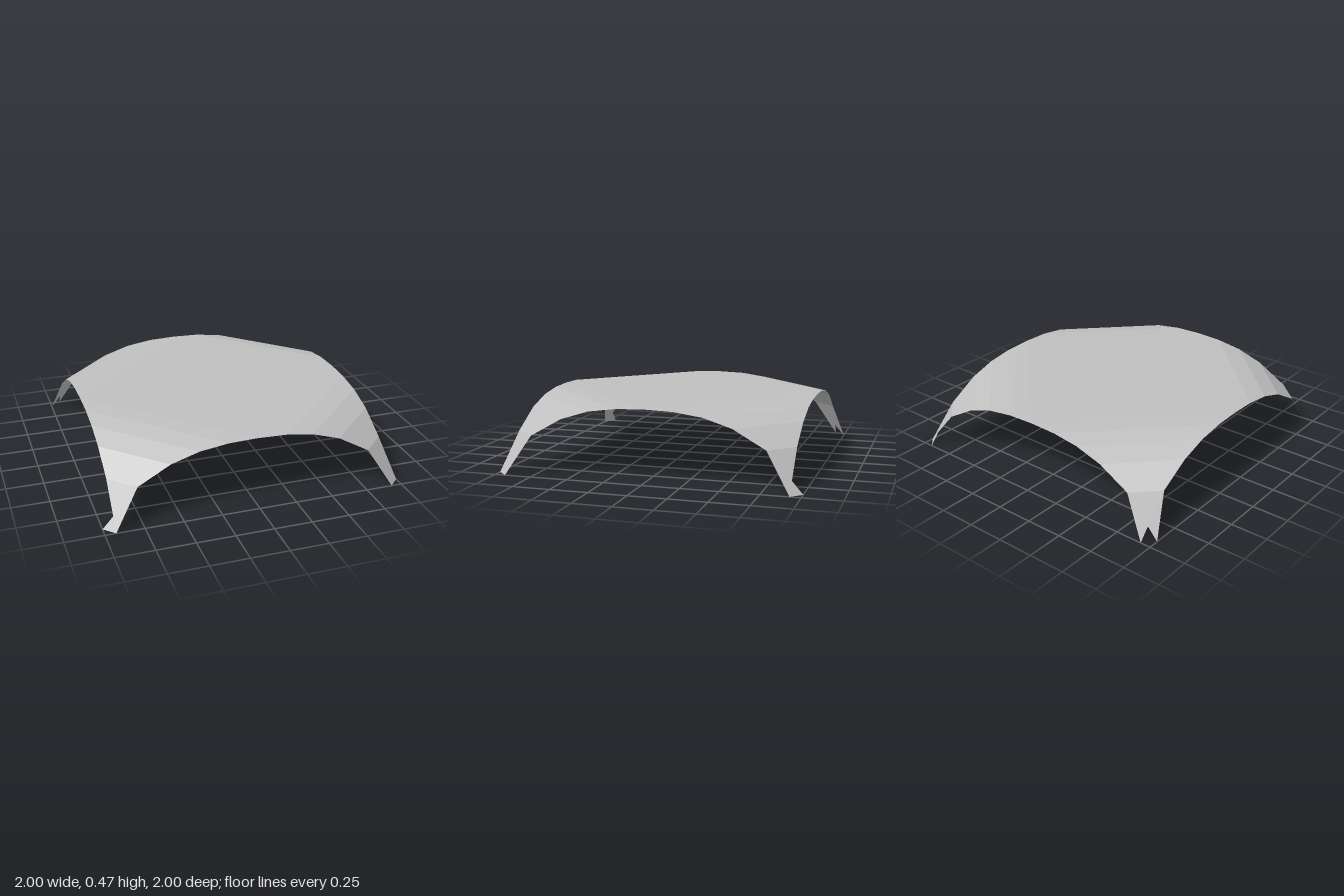
import * as THREE from 'three';

const HALF = 0.93;
// Bend profile: distance along the edge from its middle, and height there
const PROFILE = [[0, 0.465], [0.19, 0.459], [0.375, 0.433], [0.56, 0.375], [0.772, 0.255], [HALF, 0.08]];

const gray = new THREE.MeshStandardMaterial({ color: 0xc0c0c0, side: THREE.DoubleSide });
gray.name = 'light gray';

// Flat-faceted mesh from convex polygons, mirrored into the quadrant (sx, sz)
function facets(name, polygons, sx = 1, sz = 1) {
  const positions = [];
  const put = ([x, y, z]) => positions.push(x * sx, y, z * sz);
  for (const polygon of polygons) {
    const ring = sx * sz < 0 ? [...polygon].reverse() : polygon;
    for (let i = 1; i < ring.length - 1; i++) [ring[0], ring[i], ring[i + 1]].forEach(put);
  }
  const geometry = new THREE.BufferGeometry();
  geometry.setAttribute('position', new THREE.Float32BufferAttribute(positions, 3));
  geometry.computeVertexNormals();
  const mesh = new THREE.Mesh(geometry, gray);
  mesh.name = name;
  return mesh;
}

export function createModel() {
  const model = new THREE.Group();
  model.name = 'archedCanopy';

  // Points of one corner on the front edge and on the side edge
  const onFront = PROFILE.map(([t, y]) => [t, y, HALF]);
  const onSide = PROFILE.map(([t, y]) => [HALF, y, t]);

  // Flat diamond in the middle of the sheet
  const top = PROFILE[0][1];
  model.add(facets('canopyTop', [[[0, top, HALF], [HALF, top, 0], [0, top, -HALF], [-HALF, top, 0]]]));

  // Bands bending down towards a corner; the last one is the corner triangle
  const bands = [];
  for (let i = 0; i < PROFILE.length - 1; i++) {
    const band = [onFront[i], onFront[i + 1], onSide[i + 1], onSide[i]];
    if (i === PROFILE.length - 2) band.splice(2, 1);
    bands.push(band);
  }

  // Foot pieces around the corner tip
  const tip = onFront[5];
  const toeFront = [HALF, 0, 1];
  const toeSide = [1, 0, HALF];
  const frontFin = [onFront[4], toeFront, tip];
  const toe = [tip, toeFront, toeSide];
  const sideFin = [tip, toeSide, onSide[4]];

  // Each foot has its own cut
  const corners = [
    ['frontLeft', 1, 1, [frontFin, toe, sideFin]],
    ['frontRight', -1, 1, [frontFin, toe]],
    ['backLeft', 1, -1, [toe, sideFin]],
    ['backRight', -1, -1, [frontFin, sideFin]],
  ];
  for (const [place, sx, sz, foot] of corners) {
    model.add(facets(`${place}BentCorner`, bands, sx, sz));
    model.add(facets(`${place}Foot`, foot, sx, sz));
  }
  return model;
}
